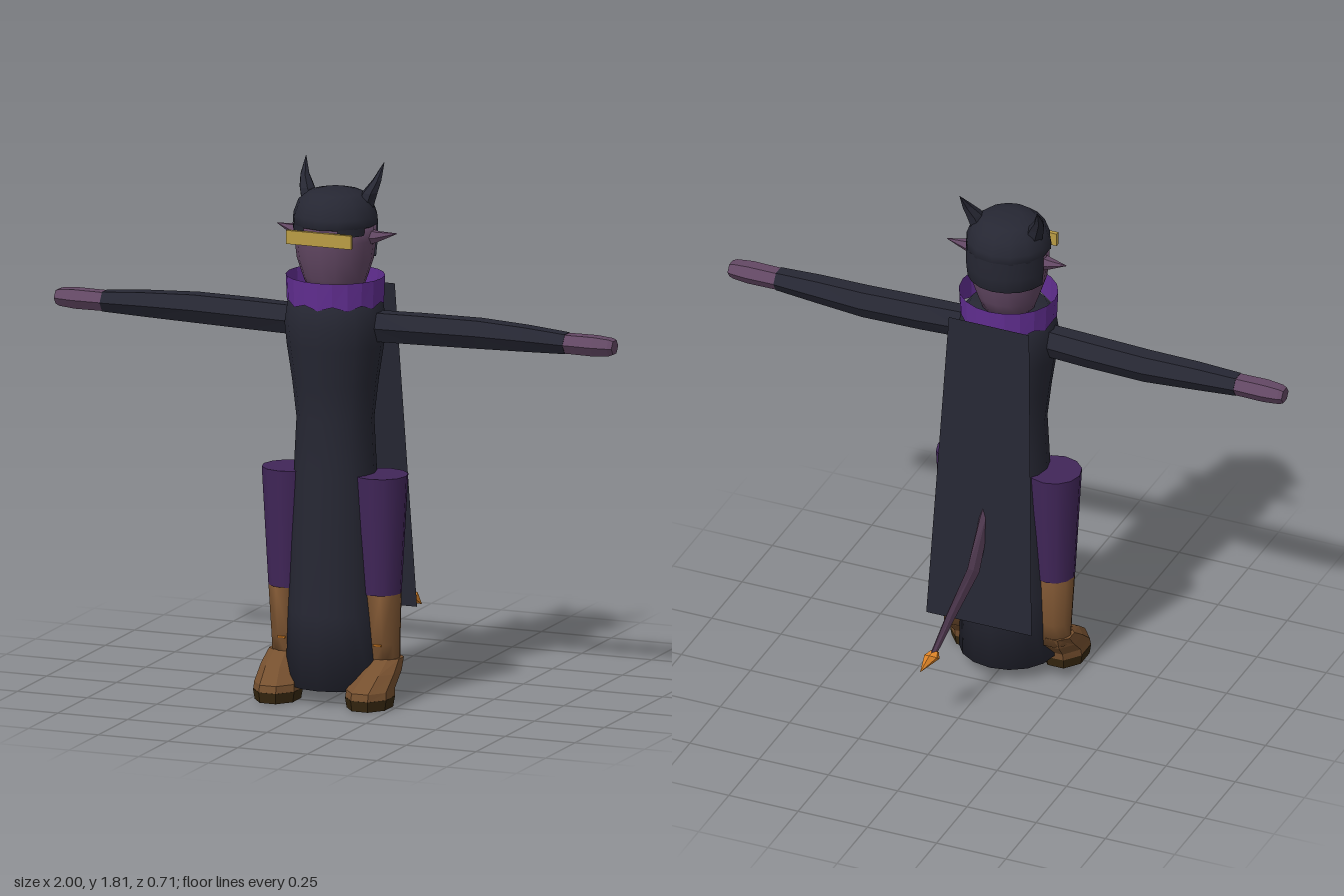
import * as THREE from 'three';

const mat = (name, color) => {
  const m = new THREE.MeshStandardMaterial({ color, side: THREE.DoubleSide });
  m.name = name;
  return m;
};
const Z = 0.165; // depth of the body axis

// Skin a row of rings [centre, u, v]; u x v points along the row
function loft(rings, n, flat = true) {
  const pos = [], idx = [];
  for (const [c, u, v] of rings) {
    for (let i = 0; i < n; i++) {
      const a = ((i + 0.5) / n) * Math.PI * 2, p = Math.cos(a), q = Math.sin(a);
      for (let k = 0; k < 3; k++) pos.push(c[k] + u[k] * p + v[k] * q);
    }
  }
  for (let r = 0; r < rings.length - 1; r++) {
    for (let i = 0; i < n; i++) {
      const a = r * n + i, b = r * n + ((i + 1) % n);
      idx.push(a, b, b + n, a, b + n, a + n);
    }
  }
  const last = (rings.length - 1) * n;
  for (let i = 1; i < n - 1; i++) idx.push(0, i + 1, i, last, last + i, last + i + 1);
  let g = new THREE.BufferGeometry();
  g.setAttribute('position', new THREE.Float32BufferAttribute(pos, 3));
  g.setIndex(idx);
  if (flat) g = g.toNonIndexed();
  g.computeVertexNormals();
  return g;
}
// Ring shorthands: along x (half height, half depth) and along y (half depth, half width)
const ringX = (x, y, z, h, d) => [[x, y, z], [0, h, 0], [0, 0, d]];
const ringY = (x, y, z, d, w) => [[x, y, z], [0, 0, d], [w, 0, 0]];

// Copy a part to the other side of x = 0, keeping faces outward
function mirrored(geo) {
  const g = geo.index ? geo.toNonIndexed() : geo.clone();
  for (const name of ['position', 'normal']) {
    const a = g.attributes[name];
    for (let i = 0; i < a.count; i += 3) {
      const t = [0, 2, 1].map((k) => [-a.getX(i + k), a.getY(i + k), a.getZ(i + k)]);
      t.forEach((p, k) => a.setXYZ(i + k, ...p));
    }
  }
  return g;
}

function lathe(profile, n, zScale = 1, start = 0, length = Math.PI * 2) {
  const pts = profile.map(([r, y]) => new THREE.Vector2(r, y));
  return new THREE.LatheGeometry(pts, n, start, length).scale(1, 1, zScale).translate(0, 0, Z);
}

export function createModel() {
  const root = new THREE.Group();
  const cloth = mat('dark cloth', 0x262733);
  const skin = mat('mauve skin', 0x634864);
  const purple = mat('collar purple', 0x612e91);
  const plum = mat('trouser plum', 0x412659);
  const leather = mat('boot leather', 0x76502f);
  const sole = mat('sole brown', 0x362710);
  const gold = mat('visor gold', 0xbb9d45);
  const orange = mat('orange', 0xe08528);

  const add = (name, geo, m) => {
    const mesh = new THREE.Mesh(geo, m);
    mesh.name = name;
    root.add(mesh);
  };
  const pair = (name, geo, m) => {
    add(name + 'Left', geo, m);
    add(name + 'Right', mirrored(geo), m);
  };

  // Long robe
  add('robe', lathe([[0, 0.05], [0.166, 0.05], [0.158, 0.3], [0.15, 0.55], [0.139, 0.77],
    [0.13, 0.95], [0.145, 1.08], [0.163, 1.2], [0.17, 1.27], [0.16, 1.34], [0.13, 1.38], [0, 1.39]], 16, 0.94), cloth);

  // Flared collar with a ragged lower edge
  const collar = new THREE.CylinderGeometry(0.166, 0.162, 0.08, 20, 1, true);
  const cp = collar.attributes.position;
  for (let i = 0; i < cp.count; i++) {
    if (cp.getY(i) < 0) cp.setY(i, i % 2 ? -0.055 : -0.04);
  }
  collar.scale(1, 1, 0.95).translate(0, 1.393, Z);
  const collarFlat = collar.toNonIndexed();
  collarFlat.computeVertexNormals();
  add('collar', collarFlat, purple);

  // Cape: one flat panel, wider and further back at the hem
  const cape = new THREE.PlaneGeometry(1, 1);
  const kp = cape.attributes.position;
  for (let i = 0; i < 4; i++) {
    const top = kp.getY(i) > 0;
    kp.setXYZ(i, kp.getX(i) * (top ? 0.29 : 0.38), top ? 1.38 : 0.27, top ? 0.003 : -0.08);
  }
  cape.computeVertexNormals();
  add('cape', cape, cloth);

  // Head, cap and hair
  add('head', lathe([[0, 1.36], [0.09, 1.38], [0.108, 1.43], [0.128, 1.49], [0.136, 1.56],
    [0.136, 1.62], [0, 1.66]], 16), skin);
  add('cap', lathe([[0.13, 1.605], [0.143, 1.61], [0.141, 1.64], [0.124, 1.685], [0.09, 1.713],
    [0.045, 1.724], [0, 1.724]], 14), cloth);
  add('backHair', lathe([[0.125, 1.498], [0.137, 1.5], [0.142, 1.55], [0.143, 1.615]], 8, 1,
    1.78, Math.PI * 2 - 3.56), cloth);
  pair('sideHair', lathe([[0.139, 1.585], [0.142, 1.612]], 4, 1, 0.45, 0.7), cloth);

  // Visor bar across the eyes
  add('visor', new THREE.BoxGeometry(0.232, 0.046, 0.014).translate(0, 1.578, 0.303), gold);

  // Pointed ears and curved horns
  pair('ear', loft([ringX(0.115, 1.57, 0.165, 0.03, 0.032), ringX(0.15, 1.571, 0.162, 0.02, 0.022),
    ringX(0.215, 1.585, 0.15, 0.001, 0.001)], 6), skin);
  pair('horn', loft([ringY(0.092, 1.655, 0.15, 0.036, 0.034), ringY(0.113, 1.715, 0.138, 0.033, 0.027),
    ringY(0.129, 1.752, 0.118, 0.021, 0.016), ringY(0.14, 1.806, 0.082, 0.001, 0.001)], 6), cloth);

  // Outstretched arms with sleeves and hands
  pair('sleeve', loft([ringX(0.15, 1.27, 0.165, 0.056, 0.05), ringX(0.3, 1.271, 0.155, 0.056, 0.054),
    ringX(0.51, 1.272, 0.145, 0.054, 0.054), ringX(0.68, 1.272, 0.154, 0.047, 0.049),
    ringX(0.83, 1.27, 0.162, 0.038, 0.042)], 6), cloth);
  pair('hand', loft([ringX(0.825, 1.27, 0.162, 0.036, 0.04), ringX(0.93, 1.27, 0.162, 0.037, 0.042),
    ringX(0.985, 1.27, 0.161, 0.032, 0.036), ringX(1, 1.27, 0.16, 0.026, 0.03)], 6), skin);

  // Trousers, boots and soles
  pair('trouser', new THREE.CylinderGeometry(0.092, 0.07, 0.4, 12).translate(0.164, 0.57, 0.168), plum);
  pair('bootShaft', loft([ringY(0.17, 0.12, 0.155, 0.052, 0.057), ringY(0.168, 0.2, 0.16, 0.056, 0.061),
    ringY(0.166, 0.37, 0.168, 0.066, 0.07)], 10, false), leather);
  pair('foot', loft([ringY(0.165, 0.035, 0.262, 0.1, 0.079), ringY(0.165, 0.06, 0.258, 0.1, 0.077),
    ringY(0.177, 0.11, 0.2, 0.088, 0.066), ringY(0.182, 0.15, 0.155, 0.055, 0.055)], 8), leather);
  pair('sole', loft([ringY(0.165, 0, 0.263, 0.094, 0.074), ringY(0.165, 0.036, 0.263, 0.1, 0.08)], 8), sole);
  pair('bootBuckle', new THREE.BoxGeometry(0.026, 0.006, 0.008).translate(0.172, 0.198, 0.217), orange);

  // Flattened tail with a spear tip
  const across = (w) => [w, 0, 0];
  const edge = (h) => [0, -0.59 * h, 0.81 * h];
  add('tail', loft([
    [[0, 0.76, 0.06], across(0.012), edge(0.03)],
    [[0, 0.65, -0.035], across(0.013), edge(0.045)],
    [[0, 0.503, -0.126], across(0.013), edge(0.06)],
    [[0.04, 0.37, -0.22], across(0.011), edge(0.04)],
    [[0.07, 0.255, -0.3], across(0.008), edge(0.02)]], 6), skin);
  add('tailTip', loft([
    [[0.066, 0.268, -0.292], across(0.014), edge(0.012)],
    [[0.071, 0.252, -0.305], across(0.026), edge(0.028)],
    [[0.092, 0.215, -0.352], across(0.001), edge(0.001)]], 6), orange);

  return root;
}
